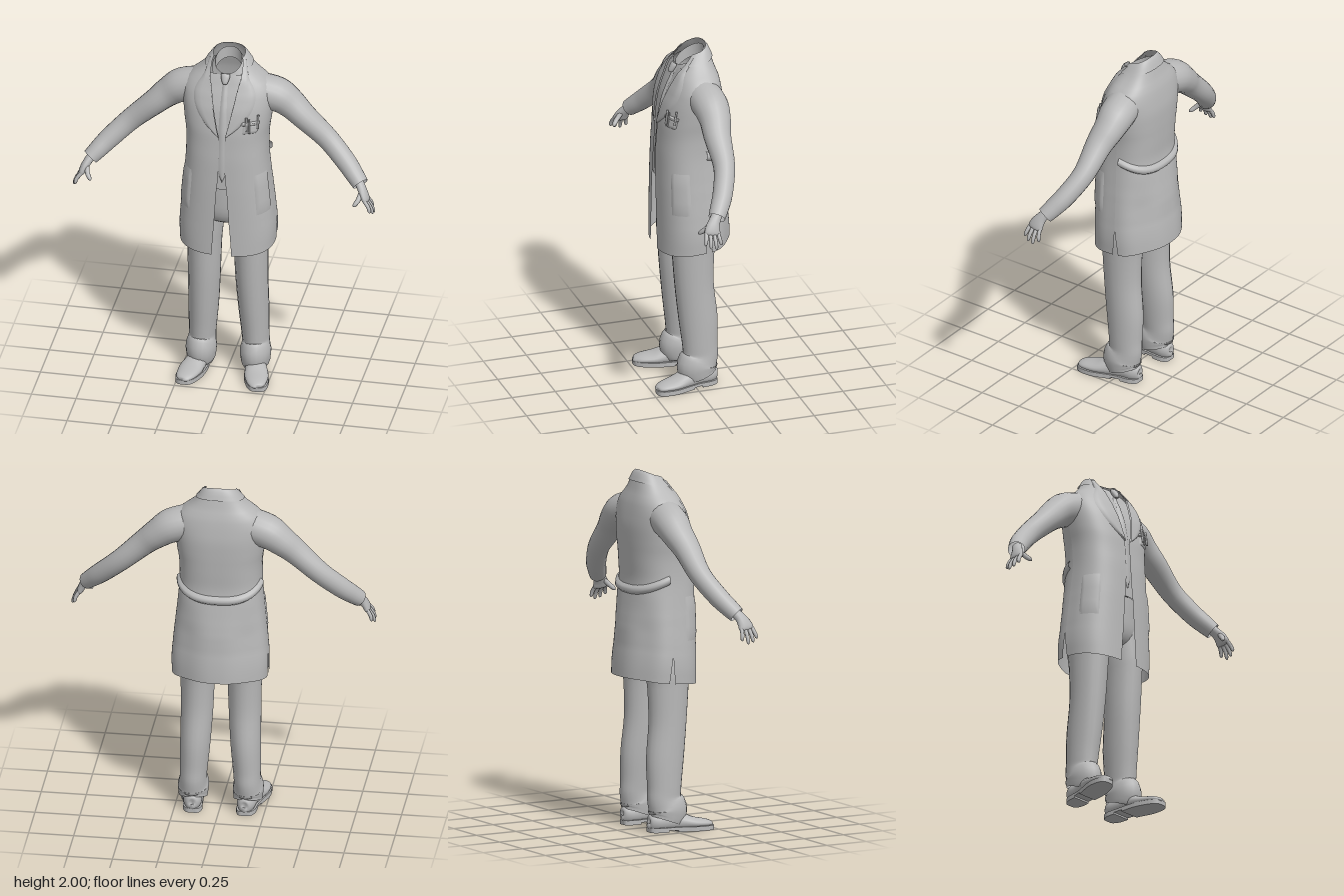
import * as THREE from 'three';

const grey = new THREE.MeshStandardMaterial({ color: 0xb8b8b8, side: THREE.DoubleSide });
grey.name = 'plain grey';

const V = (x, y, z) => new THREE.Vector3(x, y, z);
const clamp = THREE.MathUtils.clamp;

function add(parent, name, geometry) {
  const m = new THREE.Mesh(geometry, grey);
  m.name = name;
  parent.add(m);
  return m;
}

// Smooth surface from f(u, v), optionally closed around u
function grid(nu, nv, f, closed = false) {
  const pos = [], idx = [], w = closed ? nu : nu + 1;
  for (let j = 0; j <= nv; j++)
    for (let i = 0; i < w; i++) pos.push(...f(i / nu, j / nv).toArray());
  for (let j = 0; j < nv; j++)
    for (let i = 0; i < nu; i++) {
      const k = (i + 1) % w, a = j * w + i, b = j * w + k, c = b + w, d = a + w;
      idx.push(a, b, c, a, c, d);
    }
  const g = new THREE.BufferGeometry();
  g.setAttribute('position', new THREE.Float32BufferAttribute(pos, 3));
  g.setIndex(idx);
  g.computeVertexNormals();
  return g;
}

// Catmull-Rom blend of table rows at position s (0..rows-1)
function sample(rows, s) {
  const n = rows.length - 1, i = Math.min(Math.floor(s), n - 1), t = s - i;
  const [p, q, r, o] = [-1, 0, 1, 2].map((k) => rows[clamp(i + k, 0, n)]);
  return q.map((_, c) => 0.5 * (2 * q[c] + (r[c] - p[c]) * t
    + (2 * p[c] - 5 * q[c] + 4 * r[c] - o[c]) * t * t
    + (3 * q[c] - p[c] - 3 * r[c] + o[c]) * t * t * t));
}

// Elliptical tube through rows [x, y, z, radius, radius along ref]
function sweep(rows, ref = V(0, 0, 1), sides = 20, steps = 4) {
  const n = rows.length - 1;
  return grid(sides, n * steps, (u, v) => {
    const s = v * n, r = sample(rows, s);
    const T = V(...sample(rows, Math.min(n, s + 0.05)))
      .sub(V(...sample(rows, Math.max(0, s - 0.05)))).normalize();
    const B = ref.clone().addScaledVector(T, -ref.dot(T)).normalize();
    const N = B.clone().cross(T), a = u * Math.PI * 2;
    return V(r[0], r[1], r[2])
      .addScaledVector(N, Math.max(0, r[3]) * Math.cos(a))
      .addScaledVector(B, Math.max(0, r[4]) * Math.sin(a));
  }, true);
}

// Coat sections: y, half width, front z, back z, half opening, rise at the back
const COAT = [
  [0.81, 0.265, 0.18, -0.23, 0.055, 0.05], [0.9, 0.268, 0.18, -0.225, 0.05, 0.045],
  [1.0, 0.262, 0.18, -0.215, 0.042, 0.03], [1.2, 0.245, 0.18, -0.203, 0.03, 0],
  [1.3, 0.235, 0.178, -0.193, 0.02, 0], [1.4, 0.228, 0.175, -0.182, 0.016, 0],
  [1.5, 0.228, 0.168, -0.186, 0.016, 0], [1.55, 0.232, 0.165, -0.188, 0.018, 0],
  [1.6, 0.24, 0.158, -0.19, 0.03, 0], [1.7, 0.25, 0.138, -0.19, 0.05, 0],
  [1.78, 0.25, 0.108, -0.18, 0.065, 0], [1.83, 0.22, 0.085, -0.168, 0.075, 0.01],
  [1.87, 0.165, 0.07, -0.15, 0.085, 0.02], [1.9, 0.125, 0.05, -0.138, 0.088, 0.04],
  [1.93, 0.1, 0.03, -0.122, 0.086, 0.06], [1.95, 0.088, 0.012, -0.11, 0.08, 0.05],
];
const E = 0.8;
function coatRow(y) {
  let i = 0;
  while (i < COAT.length - 2 && COAT[i + 1][0] < y) i++;
  return sample(COAT, i + clamp((y - COAT[i][0]) / (COAT[i + 1][0] - COAT[i][0]), 0, 1));
}
const edge = (y) => {
  const r = coatRow(y);
  return Math.asin(Math.min(0.98, Math.pow(r[4] / r[1], 1 / E)));
};
// Point on the coat at height y and angle a from the front, moved outward by off
function coatPoint(y, a, off = 0) {
  const r = coatRow(y), s = Math.sin(a), c = Math.cos(a), mid = (r[2] + r[3]) / 2;
  const pleat = c < 0 ? 0.013 * -c * Math.cos(4 * (a - Math.PI)) * clamp((1.32 - y) / 0.2, 0, 1) : 0;
  const pw = (t) => Math.sign(t) * Math.pow(Math.abs(t), E);
  return V(r[1] * pw(s) + s * (off + pleat), y + r[5] * (1 - c) / 2,
    mid + (r[2] - mid) * pw(c) + c * (off + pleat));
}
const mix = THREE.MathUtils.lerp;
const patch = (y0, y1, a0, a1, off, nu = 10, nv = 6) => grid(nu, nv, (u, v) => {
  const rim = u < 0.01 || u > 0.99 || v < 0.01 || v > 0.99;
  return coatPoint(mix(y0, y1, v), mix(a0, a1, u), rim ? 0 : off);
});

// Parts made once and mirrored for the other side
function buildSide(side) {
  // Front panel of the coat, with a vent at the side hem
  add(side, 'coatFront', grid(18, 48, (u, v) => {
    const y = mix(0.81, 1.95, v), gap = 0.06 * clamp((0.97 - y) / 0.15, 0, 1);
    return coatPoint(y, mix(edge(y), 1.66 - gap, u));
  }));
  add(side, 'lapel', grid(4, 20, (u, v) => {
    const y = mix(1.55, 1.93, v), w = 0.5 * Math.sin(Math.PI * Math.min(0.75, v * 0.9));
    return coatPoint(y, edge(y) + w * u, u > 0.9 ? 0 : 0.009);
  }));
  add(side, 'hipPocket', patch(1.06, 1.31, 0.75, 1.35, 0.007));

  add(side, 'sleeve', sweep([
    [0.16, 1.76, -0.045, 0.095, 0.1], [0.265, 1.73, -0.06, 0.096, 0.1],
    [0.34, 1.68, -0.062, 0.082, 0.088], [0.42, 1.61, -0.05, 0.07, 0.076],
    [0.55, 1.49, -0.045, 0.061, 0.06], [0.66, 1.385, 0, 0.057, 0.056],
    [0.72, 1.325, 0.04, 0.051, 0.052], [0.758, 1.287, 0.068, 0.045, 0.047]]));

  // Hand with four fingers and a thumb
  const hand = new THREE.Group();
  hand.name = 'hand';
  side.add(hand);
  add(hand, 'palm', sweep([
    [0.735, 1.315, 0.05, 0.026, 0.03], [0.765, 1.275, 0.082, 0.024, 0.032],
    [0.785, 1.24, 0.1, 0.022, 0.042], [0.798, 1.21, 0.107, 0.017, 0.042],
    [0.802, 1.2, 0.108, 0, 0]], undefined, 14));
  [[0.825, 1.15, 0.062], [0.84, 1.132, 0.094], [0.838, 1.14, 0.127], [0.826, 1.158, 0.156]]
    .forEach(([x, y, z], i) => finger('finger', [0.792, 1.222, 0.076 + i * 0.021], [x, y, z], 0.011));
  finger('thumb', [0.77, 1.26, 0.105], [0.735, 1.195, 0.168], 0.014);
  function finger(name, p, q, r) {
    const at = (t, k) => [...p.map((c, i) => mix(c, q[i], t) + (i === 0 ? 0.008 * Math.sin(t * Math.PI) : 0)), r * k, r * k];
    add(hand, name, sweep([at(0, 1), at(0.5, 1), at(0.88, 0.8), at(1, 0)], undefined, 8, 3));
  }

  add(side, 'trouserLeg', sweep([
    [0.1, 1.08, -0.02, 0.09, 0.13], [0.125, 0.9, -0.01, 0.098, 0.13],
    [0.13, 0.8, -0.005, 0.095, 0.12], [0.133, 0.6, -0.01, 0.09, 0.11],
    [0.14, 0.4, -0.03, 0.084, 0.11], [0.147, 0.25, -0.038, 0.077, 0.1],
    [0.15, 0.18, -0.04, 0.075, 0.1], [0.152, 0.13, -0.022, 0.085, 0.114],
    [0.152, 0.09, -0.024, 0.083, 0.112], [0.152, 0.06, -0.034, 0.079, 0.1]]));

  // Shoe: rounded upper over a flat sole and heel
  const shoe = [
    [0.145, 0.05, -0.135, 0, 0], [0.145, 0.05, -0.13, 0.04, 0.03],
    [0.148, 0.055, -0.09, 0.055, 0.05], [0.155, 0.055, -0.02, 0.055, 0.052],
    [0.168, 0.05, 0.05, 0.05, 0.06], [0.185, 0.04, 0.12, 0.033, 0.066],
    [0.2, 0.035, 0.19, 0.023, 0.053], [0.205, 0.03, 0.225, 0.013, 0.03],
    [0.207, 0.03, 0.232, 0, 0]];
  const upper = sweep(shoe, V(1, 0, 0));
  const p = upper.attributes.position;
  for (let i = 0; i < p.count; i++) p.setY(i, Math.max(0.015, p.getY(i)));
  upper.computeVertexNormals();
  add(side, 'shoeUpper', upper);
  const plate = (name, from, to, y0, y1) => {
    const pts = [[], []];
    for (let s = from; s <= to; s += 0.25) {
      const r = sample(shoe, s), b = Math.max(0, r[4]) + 0.003;
      pts[0].push(new THREE.Vector2(r[0] + b, r[2]));
      pts[1].unshift(new THREE.Vector2(r[0] - b, r[2]));
    }
    const g = new THREE.ExtrudeGeometry(new THREE.Shape([...pts[0], ...pts[1]]), { depth: y1 - y0, bevelEnabled: false });
    add(side, name, g.rotateX(Math.PI / 2).translate(0, y1, 0));
  };
  plate('sole', 0.5, 8, 0.01, 0.026);
  plate('heel', 0.5, 2.75, 0, 0.012);
  plate('forefoot', 3.5, 8, 0, 0.012);
}

export function createModel() {
  const model = new THREE.Group();
  model.name = 'headlessCoatFigure';
  for (const [name, s] of [['leftSide', 1], ['rightSide', -1]]) {
    const side = new THREE.Group();
    side.name = name;
    side.scale.x = s;
    buildSide(side);
    model.add(side);
  }
  const TAU = Math.PI * 2;

  // Back panel, half belt and turned collar of the coat
  add(model, 'coatBack', grid(36, 48, (u, v) => {
    const y = mix(0.81, 1.95, v), a = 1.66 + 0.06 * clamp((0.97 - y) / 0.15, 0, 1);
    return coatPoint(y, mix(a, TAU - a, u));
  }));
  add(model, 'backBelt', grid(30, 4, (u, v) => {
    const y = mix(1.385, 1.32, Math.sin(u * Math.PI)) + v * 0.05;
    return coatPoint(y, mix(1.75, TAU - 1.75, u), v < 0.01 || v > 0.99 ? 0 : 0.016);
  }));
  add(model, 'coatCollar', grid(36, 4, (u, v) => {
    const y = mix(1.9, 1.95, v), a = edge(y);
    return coatPoint(y, mix(a, TAU - a, u), 0.008 * (1 - v));
  }));

  // Shirt with a folded collar
  add(model, 'shirt', grid(40, 30, (u, v) => coatPoint(mix(1.22, 1.88, v), u * TAU, -0.016), true));
  const neck = (a, drop, out) => V((0.074 + out) * Math.sin(a), 1.935 - 0.045 * Math.cos(a) - drop,
    -0.027 + (0.078 + out) * Math.cos(a));
  add(model, 'neckBand', grid(32, 3, (u, v) => neck(u * TAU, 0.07 * (1 - v), 0), true));
  add(model, 'shirtCollar', grid(32, 4, (u, v) => {
    const a = mix(0.12, TAU - 0.12, u), point = Math.exp(-Math.pow((Math.abs(Math.PI - a) - 2.6) / 0.35, 2));
    return neck(a, (1 - v) * (0.03 + 0.045 * point), (1 - v) * 0.018);
  }));

  // Tie
  add(model, 'tieKnot', sweep([[0, 1.895, 0.058, 0.024, 0.01], [0, 1.88, 0.066, 0.026, 0.016],
    [0, 1.85, 0.082, 0.016, 0.014], [0, 1.842, 0.084, 0.01, 0.004]], undefined, 12));
  add(model, 'tieBlade', grid(6, 30, (u, v) => {
    const y = mix(1.27, 1.855, v), w = 0.064 * Math.min(1, v * 8 + 0.02) * (1 - 0.55 * v);
    return V((u - 0.5) * w, y, coatRow(y)[2] - 0.012 + 0.008 * Math.sin(u * Math.PI));
  }));

  // Trouser hips, belt and buckle
  add(model, 'trouserHips', sweep([[0, 1.27, -0.01, 0.185, 0.145], [0, 1.15, -0.015, 0.2, 0.15],
    [0, 1.03, -0.015, 0.2, 0.14], [0, 0.97, -0.02, 0.12, 0.09], [0, 0.95, -0.02, 0, 0]], undefined, 32));
  add(model, 'waistBelt', sweep([[0, 1.262, -0.01, 0.19, 0.152], [0, 1.23, -0.01, 0.193, 0.155]], undefined, 32));
  add(model, 'buckle', new THREE.BoxGeometry(0.05, 0.035, 0.008)).position.set(0, 1.246, 0.146);

  // Breast pocket with pens
  add(model, 'breastPocket', patch(1.575, 1.635, 0.4, 0.85, 0.008));
  add(model, 'pocketFlap', patch(1.625, 1.645, 0.33, 0.88, 0.012));
  [[0.46, 1.675, 0.006], [0.54, 1.665, 0.005], [0.78, 1.685, 0.006]].forEach(([a, top, r]) => {
    const pen = add(model, 'pen', new THREE.CylinderGeometry(r, r, 0.08, 8));
    pen.position.copy(coatPoint(top - 0.04, a, 0.012));
    pen.rotation.x = -0.15;
  });
  return model;
}
